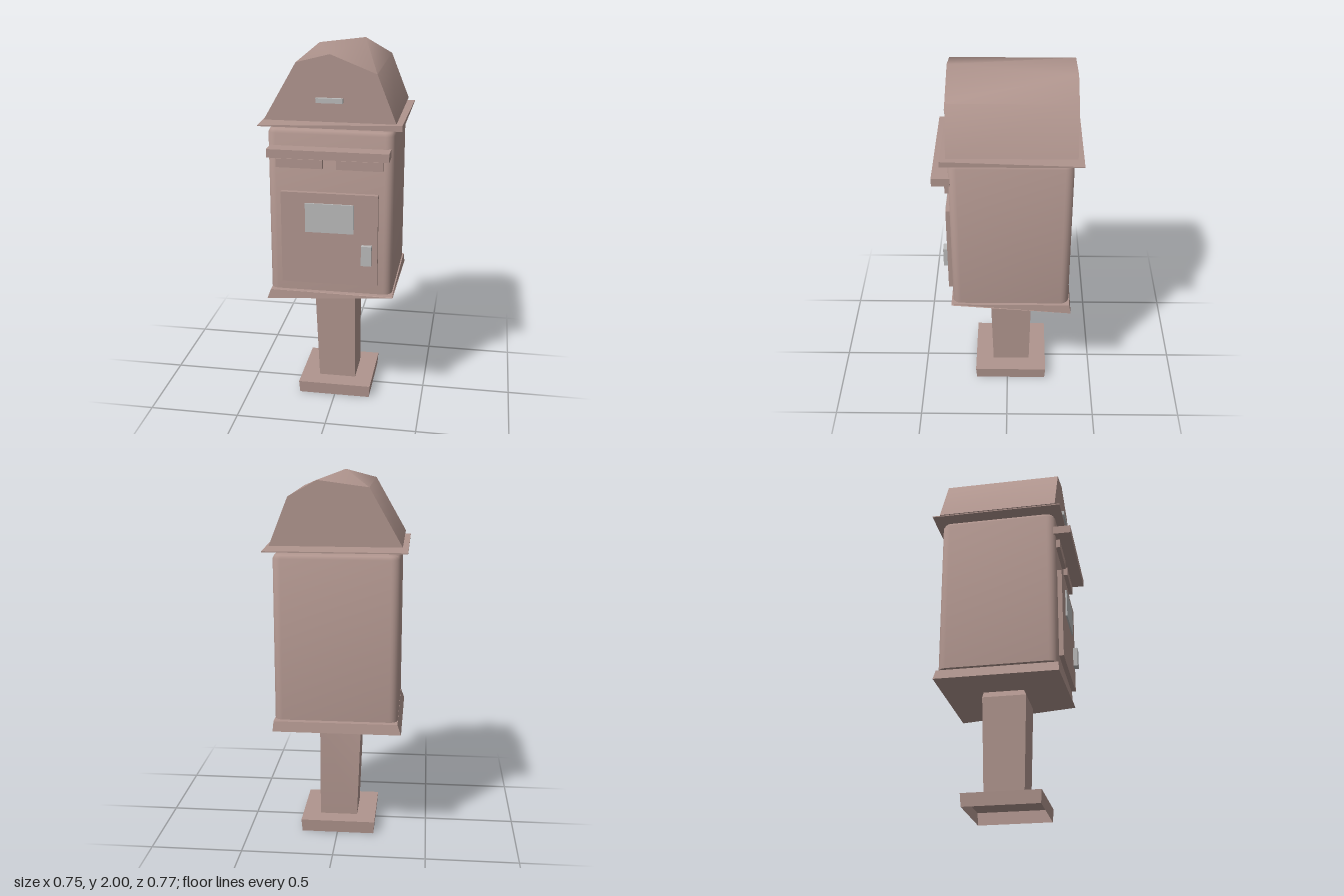
import * as THREE from 'three';
import { toCreasedNormals } from 'three/addons/utils/BufferGeometryUtils.js';

const paint = new THREE.MeshStandardMaterial({ color: 0xb0958e });
paint.name = 'dusty rose paint';
const openPaint = paint; // same paint, shown from both sides for the hollow foot
openPaint.side = THREE.DoubleSide;
const metal = new THREE.MeshStandardMaterial({ color: 0xbababa });
metal.name = 'pale grey metal';

// Skin a stack of matching convex rings and cap the ends
function loft(rings, crease = 0.7, capStart = true, capEnd = true) {
  const pos = [];
  const tri = (...pts) => pts.forEach((p) => pos.push(...p));
  const n = rings[0].length;
  for (let k = 0; k < rings.length - 1; k++) {
    const a = rings[k], b = rings[k + 1];
    for (let i = 0; i < n; i++) {
      const j = (i + 1) % n;
      tri(a[i], a[j], b[i]);
      tri(a[j], b[j], b[i]);
    }
  }
  const first = rings[0], last = rings[rings.length - 1];
  for (let i = 1; i < n - 1; i++) {
    if (capStart) tri(first[0], first[i + 1], first[i]);
    if (capEnd) tri(last[0], last[i], last[i + 1]);
  }
  const g = new THREE.BufferGeometry();
  g.setAttribute('position', new THREE.Float32BufferAttribute(pos, 3));
  return toCreasedNormals(g, crease);
}

// Horizontal rectangle, corners from front right; corner lift is optional
function rect(x0, x1, z0, z1, y, frontRightY = y) {
  return [[x1, frontRightY, z1], [x1, y, z0], [x0, y, z0], [x0, y, z1]];
}

// Horizontal rectangle with rounded corners
function roundRect(x0, x1, z0, z1, y, r, steps = 6) {
  const pts = [];
  const centres = [[x1 - r, z1 - r], [x1 - r, z0 + r], [x0 + r, z0 + r], [x0 + r, z1 - r]];
  centres.forEach(([cx, cz], k) => {
    for (let i = 0; i <= steps; i++) {
      const a = (k - 1 + i / steps) * Math.PI / 2;
      pts.push([cx + r * Math.cos(a), y, cz - r * Math.sin(a)]);
    }
  });
  return pts;
}

export function createModel() {
  const model = new THREE.Group();
  model.name = 'postBox';

  const add = (name, geometry, material = paint) => {
    const mesh = new THREE.Mesh(geometry, material);
    mesh.name = name;
    model.add(mesh);
    return mesh;
  };
  const box = (name, x0, x1, y0, y1, z0, z1, material) =>
    add(name, new THREE.BoxGeometry(x1 - x0, y1 - y0, z1 - z0), material)
      .position.set((x0 + x1) / 2, (y0 + y1) / 2, (z0 + z1) / 2);

  // Hollow foot and tapered post
  add('foot', loft([
    rect(-0.205, 0.2, -0.225, 0.185, 0),
    rect(-0.21, 0.205, -0.23, 0.19, 0.07),
  ], 0.5, false, true), openPaint);
  add('post', loft([
    rect(-0.105, 0.105, -0.13, 0.085, 0.07),
    rect(-0.125, 0.105, -0.14, 0.1, 0.615),
    rect(-0.11, 0.105, -0.135, 0.085, 0.648),
  ], 0.3));

  // Skirt under the body, its front right corner bent up
  add('skirt', loft([
    rect(-0.355, 0.34, -0.355, 0.31, 0.645, 0.697),
    rect(-0.335, 0.335, -0.345, 0.305, 0.7),
  ], 0.2));

  // Body with rounded corners and shoulders
  add('body', loft([
    roundRect(-0.335, 0.33, -0.34, 0.3, 0.71, 0.045),
    roundRect(-0.335, 0.33, -0.34, 0.3, 1.585, 0.045),
    roundRect(-0.325, 0.32, -0.33, 0.29, 1.603, 0.04),
    roundRect(-0.3, 0.295, -0.305, 0.27, 1.61, 0.03),
  ], 0.9));

  // Thin warped rim below the roof
  add('roofRim', loft([
    rect(-0.375, 0.373, -0.386, 0.336, 1.626),
    rect(-0.375, 0.373, -0.386, 0.336, 1.632, 1.656),
  ], 0.2));

  // Faceted roof, its ridge drifting sideways toward the back
  const roofRing = (z, ridge) => [
    [0.34, 1.655], [0.24, 1.906], ridge, [-0.175, 1.955], [-0.347, 1.655],
  ].map(([x, y]) => [x, y, z]);
  add('roof', loft([roofRing(-0.353, [0.09, 1.99]), roofRing(0.306, [0, 2])], 0.8));

  // Rain hood and letter slots
  box('rainHood', -0.32, 0.315, 1.475, 1.52, 0.29, 0.386);
  for (const x of [-0.163, 0.157]) {
    box('letterSlot', x - 0.123, x + 0.123, 1.407, 1.455, 0.29, 0.322);
  }

  // Door with its plate and lock
  box('door', -0.263, 0.255, 0.765, 1.276, 0.29, 0.325);
  box('noticePlate', -0.132, 0.128, 1.06, 1.22, 0.325, 0.334, metal);
  box('lock', 0.17, 0.225, 0.89, 1.0, 0.32, 0.35, metal);

  // Small badge on the gable
  box('badge', -0.072, 0.068, 1.755, 1.78, 0.3, 0.325, metal);

  return model;
}
